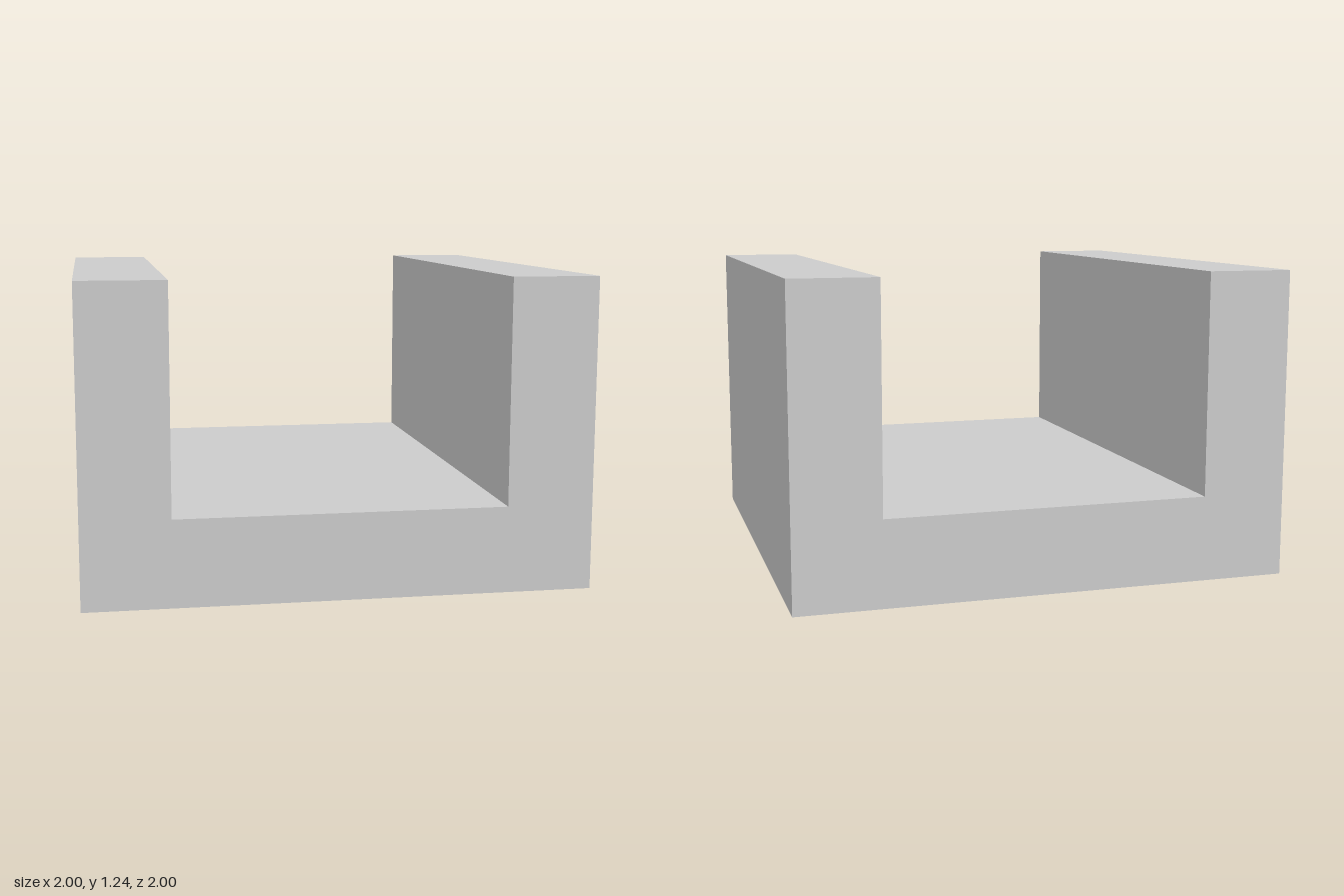
import * as THREE from 'three';

export function createModel() {
  const group = new THREE.Group();
  group.name = 'channelBlock';

  const half = 1, depth = 2, height = 1.24, inner = 0.655, floor = 0.345;

  // U-shaped section, extruded front to back
  const section = new THREE.Shape([
    [-half, 0], [half, 0], [half, height], [inner, height],
    [inner, floor], [-inner, floor], [-inner, height], [-half, height],
  ].map(([x, y]) => new THREE.Vector2(x, y)));

  const geometry = new THREE.ExtrudeGeometry(section, { depth, bevelEnabled: false });
  geometry.translate(0, 0, -depth / 2);

  const channel = new THREE.Mesh(
    geometry,
    new THREE.MeshStandardMaterial({ color: 0xcccccc, flatShading: true })
  );
  channel.name = 'channel';
  group.add(channel);
  return group;
}
